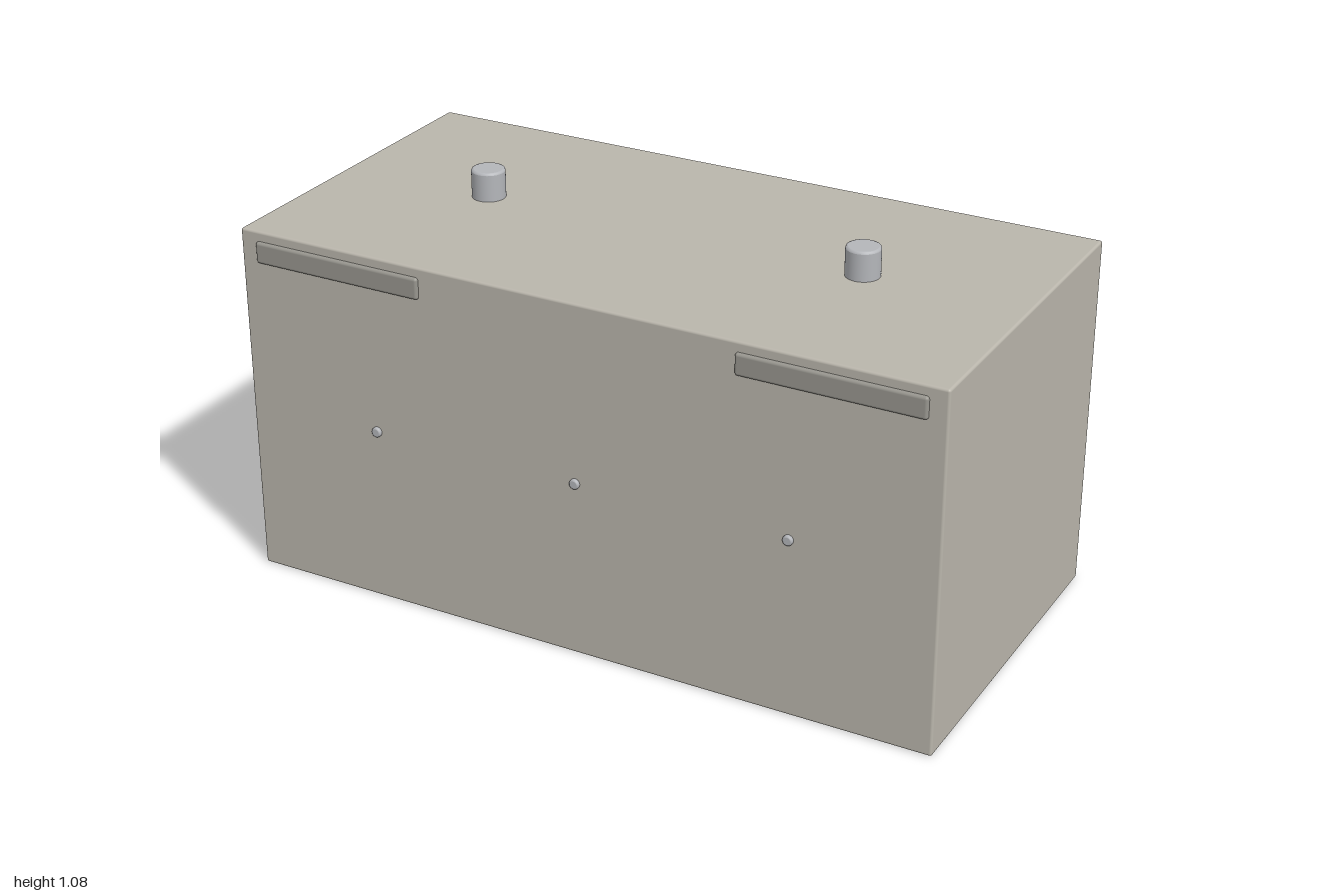
import * as THREE from 'three';
import { RoundedBoxGeometry } from 'three/addons/geometries/RoundedBoxGeometry.js';

const FRONT = 0.503, BACK = -0.492, MID = (FRONT + BACK) / 2;
const paint = (color) => new THREE.MeshStandardMaterial({ color });

export function createModel() {
  const model = new THREE.Group();
  const bodyMat = paint(0xbab6ac), trimMat = paint(0x98968f);
  const plateMat = paint(0x8a8a8a), metalMat = paint(0xb4b6ba);

  const add = (name, geometry, material, x, y, z) => {
    const mesh = new THREE.Mesh(geometry, material);
    mesh.name = name;
    mesh.position.set(x, y, z);
    model.add(mesh);
    return mesh;
  };

  // Solid pin standing on y = 0 with a small bevelled rim
  const pin = (r, h, bevel, sides) => new THREE.CylinderGeometry(r, r, h - bevel, sides, 1, true)
    .translate(0, (h - bevel) / 2, 0);
  const cap = (r, h, bevel, sides) => new THREE.LatheGeometry([
    new THREE.Vector2(r, h - bevel),
    new THREE.Vector2(r - bevel * 0.3, h - bevel * 0.3),
    new THREE.Vector2(r - bevel, h),
    new THREE.Vector2(r - bevel, h),
    new THREE.Vector2(0, h),
  ], sides);
  const addPin = (name, r, h, bevel, sides, material, x, y, z, tilt = 0) => {
    const group = new THREE.Group();
    group.name = name;
    group.add(new THREE.Mesh(pin(r, h, bevel, sides), material));
    group.add(new THREE.Mesh(cap(r, h, bevel, sides), material));
    group.position.set(x, y, z);
    group.rotation.x = tilt;
    model.add(group);
  };

  // Main case with finely rounded edges
  add('case', new RoundedBoxGeometry(2, 1, FRONT - BACK, 3, 0.007), bodyMat, 0, 0.5, MID);

  // Two terminal posts on the lid
  for (const x of [-0.55, 0.55]) {
    addPin('terminalPost', 0.046, 0.09, 0.006, 40, metalMat, x, 0.99, MID);
  }

  // Grip bars and small studs on the front and the back
  for (const [z, side] of [[FRONT, 1], [BACK, -1]]) {
    for (const x of [-0.7, 0.7]) {
      add('gripBar', new RoundedBoxGeometry(0.5, 0.06, 0.04, 3, 0.008), trimMat, x, 0.943, z - side * 0.01);
    }
    for (const x of [-0.6, 0, 0.6]) {
      addPin('stud', 0.014, 0.02, 0.004, 20, metalMat, x, 0.502, z - side * 0.01, side * Math.PI / 2);
    }
  }

  // Label plate on the back
  add('backPlate', new RoundedBoxGeometry(0.695, 0.3, 0.022, 3, 0.008), plateMat, 0, 0.552, BACK - 0.01);

  return model;
}
